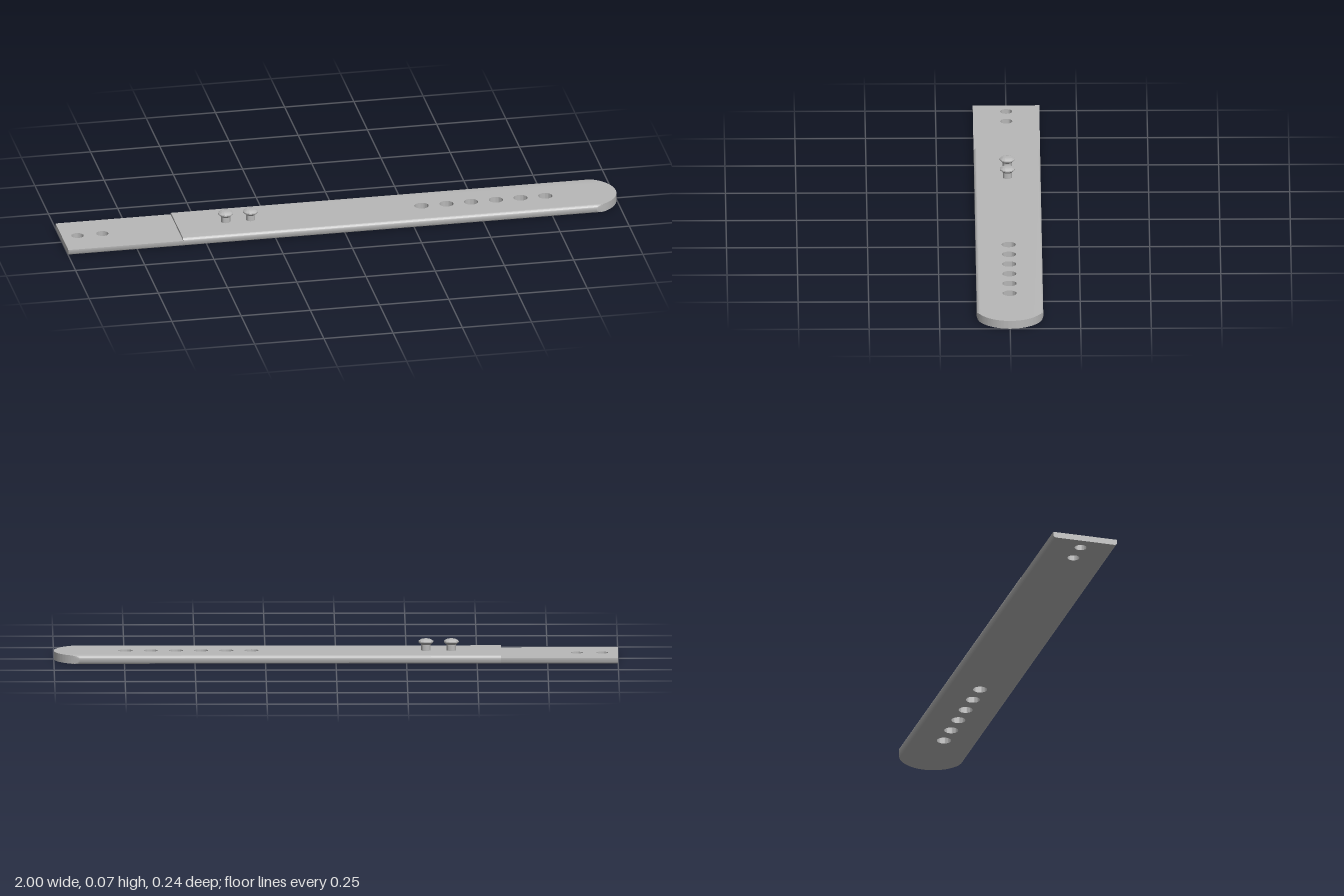
import * as THREE from 'three';
import { toCreasedNormals } from 'three/addons/utils/BufferGeometryUtils.js';

const HALF_WIDTH = 0.118;
const EDGE = 0.01; // rounding of the long edges
const JOIN = -0.585; // where the thin tab meets the strap

// Cross-section as [height, half width] pairs, rounded below and optionally above
function sideProfile(height, roundTop) {
  const points = [];
  for (let i = 0; i <= 4; i++) {
    const a = (i / 4) * Math.PI / 2;
    points.push([EDGE * (1 - Math.cos(a)), HALF_WIDTH - EDGE * (1 - Math.sin(a))]);
  }
  if (!roundTop) return [...points, [height, HALF_WIDTH]];
  return [...points, ...points.map(([y, w]) => [height - y, w]).reverse()];
}

// Flat plate with punched holes, its long sides narrowed to follow the profile
function plate(outline, holes, radius, profile) {
  for (const x of holes) {
    outline.holes.push(new THREE.Path().absarc(x, 0, radius, 0, Math.PI * 2, true));
  }
  const steps = profile.length - 1;
  const geometry = new THREE.ExtrudeGeometry(outline, {
    depth: 1, steps, bevelEnabled: false, curveSegments: 32,
  });
  geometry.rotateX(-Math.PI / 2);
  const p = geometry.attributes.position;
  for (let i = 0; i < p.count; i++) {
    const [y, w] = profile[Math.round(p.getY(i) * steps)];
    p.setY(i, y);
    p.setZ(i, THREE.MathUtils.clamp(p.getZ(i), -w, w));
  }
  return toCreasedNormals(geometry, 0.6);
}

export function createModel() {
  const model = new THREE.Group();
  model.name = 'strap';
  const grey = new THREE.MeshStandardMaterial({ color: 0xb8b8b8 });
  grey.name = 'grey';

  const add = (name, geometry, x = 0, y = 0) => {
    const mesh = new THREE.Mesh(geometry, grey);
    mesh.name = name;
    mesh.position.set(x, y, 0);
    model.add(mesh);
  };

  // Main strap with a rounded tip and six adjustment holes
  const tipRadius = 0.122;
  const tipAngle = Math.asin(HALF_WIDTH / tipRadius);
  const band = new THREE.Shape();
  band.moveTo(JOIN, HALF_WIDTH);
  band.lineTo(JOIN, -HALF_WIDTH);
  band.absarc(1 - tipRadius, 0, tipRadius, -tipAngle, tipAngle, false);
  band.closePath();
  const bandHoles = Array.from({ length: 6 }, (_, i) => 0.299 + i * 0.0893);
  add('band', plate(band, bandHoles, 0.025, sideProfile(0.03, true)));

  // Thin end tab with two holes
  const tab = new THREE.Shape();
  tab.moveTo(-1, HALF_WIDTH);
  tab.lineTo(-1, -HALF_WIDTH);
  tab.lineTo(JOIN, -HALF_WIDTH);
  tab.lineTo(JOIN, HALF_WIDTH);
  tab.closePath();
  add('endTab', plate(tab, [-0.944, -0.854], 0.0215, sideProfile(0.021, false)));

  // Two turned studs with flared heads
  const studProfile = [
    [0.0165, 0], [0.0165, 0.021], [0.0265, 0.03], [0.0265, 0.034],
    [0.018, 0.04], [0.013, 0.0415], [0, 0.0415],
  ].map(([r, y]) => new THREE.Vector2(r, y));
  const stud = toCreasedNormals(new THREE.LatheGeometry(studProfile, 32), 0.5);
  [-0.409, -0.319].forEach((x, i) => add(`stud${i + 1}`, stud, x, 0.0295));

  return model;
}
